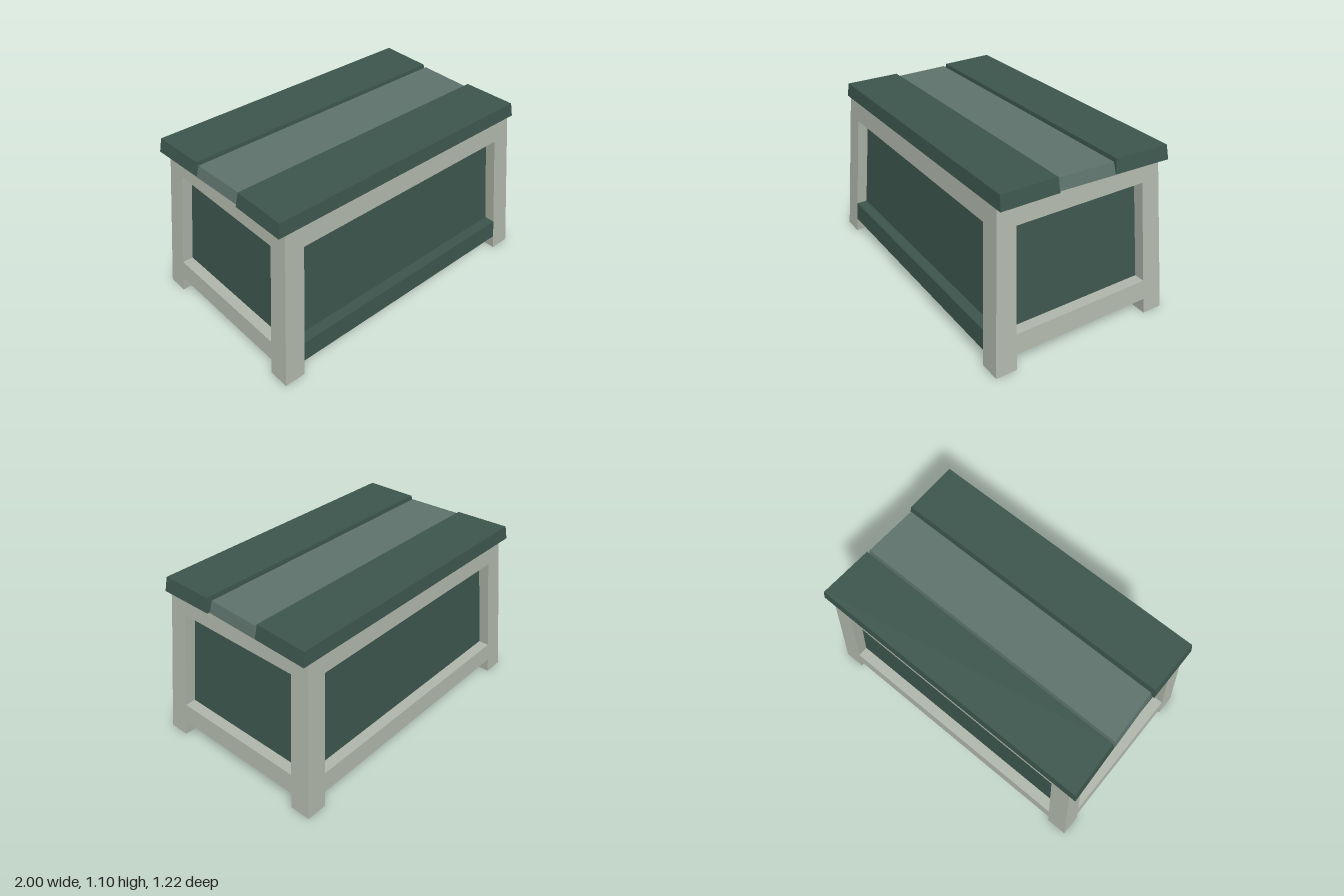
import * as THREE from 'three';

const paint = (color) => new THREE.MeshStandardMaterial({ color, flatShading: true });
const CREAM = paint(0xb0b7ab), GREEN = paint(0x3c564d), MOSS = paint(0x5f736c);

// Outer hull and the inner edges of the legs, all leaning inwards with height
const outX = (y) => 1 - 0.1 * y;
const outZ = (y) => 0.612 - 0.062 * y;
const legX = (y) => 0.862 - 0.087 * y;
const legZ = (y) => 0.475 - 0.047 * y;
const RECESS = 0.07;

// Six-sided block; rect(y) gives [x0, x1, z0, z1], flare narrows its front end
function block(name, material, y0, y1, rect, flare = 1) {
  const geometry = new THREE.BoxGeometry(1, 1, 1);
  const p = geometry.attributes.position;
  for (let i = 0; i < p.count; i++) {
    const y = p.getY(i) < 0 ? y0 : y1;
    const [xa, xb, za, zb] = rect(y);
    const front = p.getZ(i) > 0;
    const x = p.getX(i) < 0 ? xa : xb;
    p.setXYZ(i, front ? x * flare : x, y, front ? zb : za);
  }
  geometry.computeVertexNormals();
  const mesh = new THREE.Mesh(geometry, material);
  mesh.name = name;
  return mesh;
}

export function createModel() {
  const model = new THREE.Group();
  model.name = 'storageChest';

  // Four splayed corner legs
  for (const sx of [-1, 1]) {
    for (const sz of [-1, 1]) {
      const name = (sz > 0 ? 'front' : 'back') + (sx > 0 ? 'Left' : 'Right') + 'Leg';
      model.add(block(name, CREAM, 0, 1.015, (y) => {
        const x = [sx * legX(y), sx * outX(y)].sort((a, b) => a - b);
        const z = [sz * legZ(y), sz * outZ(y)].sort((a, b) => a - b);
        return [...x, ...z];
      }));
    }
  }

  // Upper and lower rails on all sides; the lower front one is green
  for (const [level, y0, y1] of [['lower', 0.1, 0.23], ['upper', 0.88, 1.01]]) {
    model.add(block(level + 'FrontRail', level === 'lower' ? GREEN : CREAM, y0, y1,
      (y) => [-legX(y), legX(y), outZ(y) - RECESS, outZ(y)]));
    model.add(block(level + 'BackRail', CREAM, y0, y1,
      (y) => [-legX(y), legX(y), -outZ(y), RECESS - outZ(y)]));
    model.add(block(level + 'LeftRail', CREAM, y0, y1,
      (y) => [outX(y) - RECESS, outX(y), -legZ(y), legZ(y)]));
    model.add(block(level + 'RightRail', CREAM, y0, y1,
      (y) => [-outX(y), RECESS - outX(y), -legZ(y), legZ(y)]));
  }

  // Recessed panels and floor form one tapered body
  model.add(block('panelBody', GREEN, 0.13, 1.008, (y) => [
    RECESS - outX(y), outX(y) - RECESS, RECESS - outZ(y), outZ(y) - RECESS]));

  // Three lid planks with bevelled edges
  const plank = (name, material, top, halfX, z0, z1, flare) => {
    model.add(block(name, material, 1.01, top, (y) => {
      const b = y > 1.05 ? 0.008 : 0;
      return [-halfX + 2 * b, halfX - 2 * b, z0 + b, z1 - b];
    }, flare));
  };
  plank('frontPlank', GREEN, 1.1, 0.942, 0.18, 0.553, 1);
  plank('middlePlank', MOSS, 1.085, 0.942, -0.197, 0.176, 0.985);
  plank('backPlank', GREEN, 1.098, 0.955, -0.573, -0.201, 0.985);

  return model;
}
